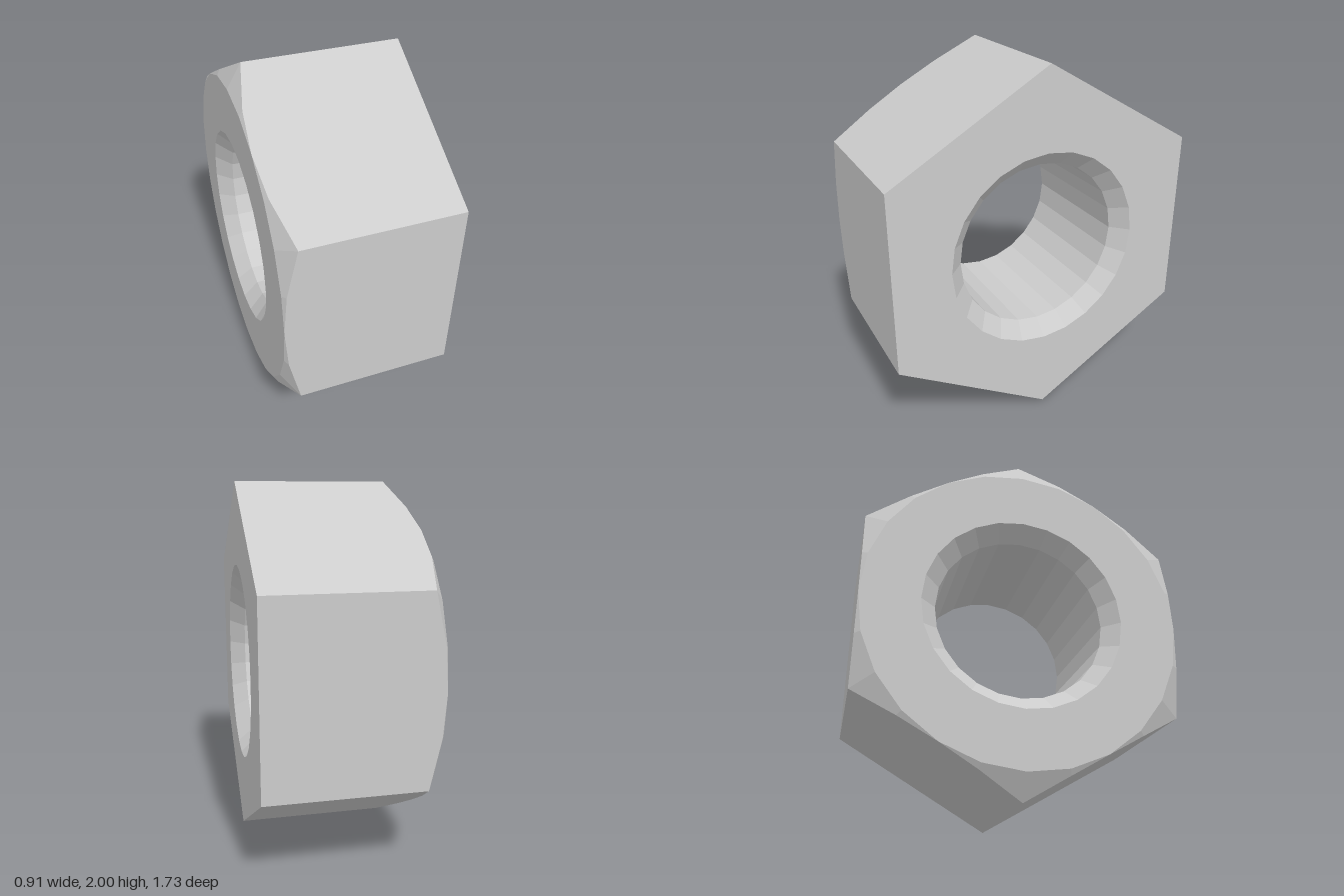
import * as THREE from 'three';

const SEGMENTS = 24;
const HALF = 0.457;              // half thickness along x
const FLAT = Math.sqrt(3) / 2;   // centre to flat of the hexagon
const BORE = 0.465, MOUTH = 0.55;
const BEVEL = MOUTH - BORE;

// Radius of a unit hexagon with a corner at angle 0
const hexRadius = (a) => {
  const sector = Math.PI / 3;
  return FLAT / Math.cos((a % sector) - sector / 2);
};

// Sweeps a profile of [x, radius] points, given per angle, around the x axis
function sweep(profileAt) {
  const rings = [];
  for (let j = 0; j < SEGMENTS; j++) {
    const a = (j / SEGMENTS) * Math.PI * 2;
    rings.push(profileAt(a).map(([x, r]) =>
      new THREE.Vector3(x, 1 + r * Math.cos(a), r * Math.sin(a))));
  }
  const points = [];
  const triangle = (a, b, c) => {
    const area = b.clone().sub(a).cross(c.clone().sub(a)).length();
    if (area > 1e-7) points.push(a, b, c);
  };
  for (let j = 0; j < SEGMENTS; j++) {
    const p = rings[j], q = rings[(j + 1) % SEGMENTS];
    for (let i = 0; i < p.length - 1; i++) {
      triangle(p[i], q[i], p[i + 1]);
      triangle(q[i], q[i + 1], p[i + 1]);
    }
  }
  const geometry = new THREE.BufferGeometry().setFromPoints(points);
  geometry.computeVertexNormals();
  return geometry;
}

export function createModel() {
  const group = new THREE.Group();
  group.name = 'hexNut';
  const material = new THREE.MeshStandardMaterial({ color: 0xcccccc, flatShading: true });
  const add = (name, geometry) => {
    const mesh = new THREE.Mesh(geometry, material);
    mesh.name = name;
    group.add(mesh);
  };

  // Hexagonal body: round face with 30 degree corner chamfer at -x, flat face at +x
  add('hexBody', sweep((a) => {
    const r = hexRadius(a);
    return [
      [-HALF, MOUTH],
      [-HALF, FLAT],
      [-HALF + (r - FLAT) * Math.tan(Math.PI / 6), r],
      [HALF, r],
      [HALF, MOUTH],
    ];
  }));

  // Through hole with bevelled mouths at both ends
  add('bore', sweep(() => [
    [HALF, MOUTH],
    [HALF - BEVEL, BORE],
    [-HALF + BEVEL, BORE],
    [-HALF, MOUTH],
  ]));

  return group;
}
